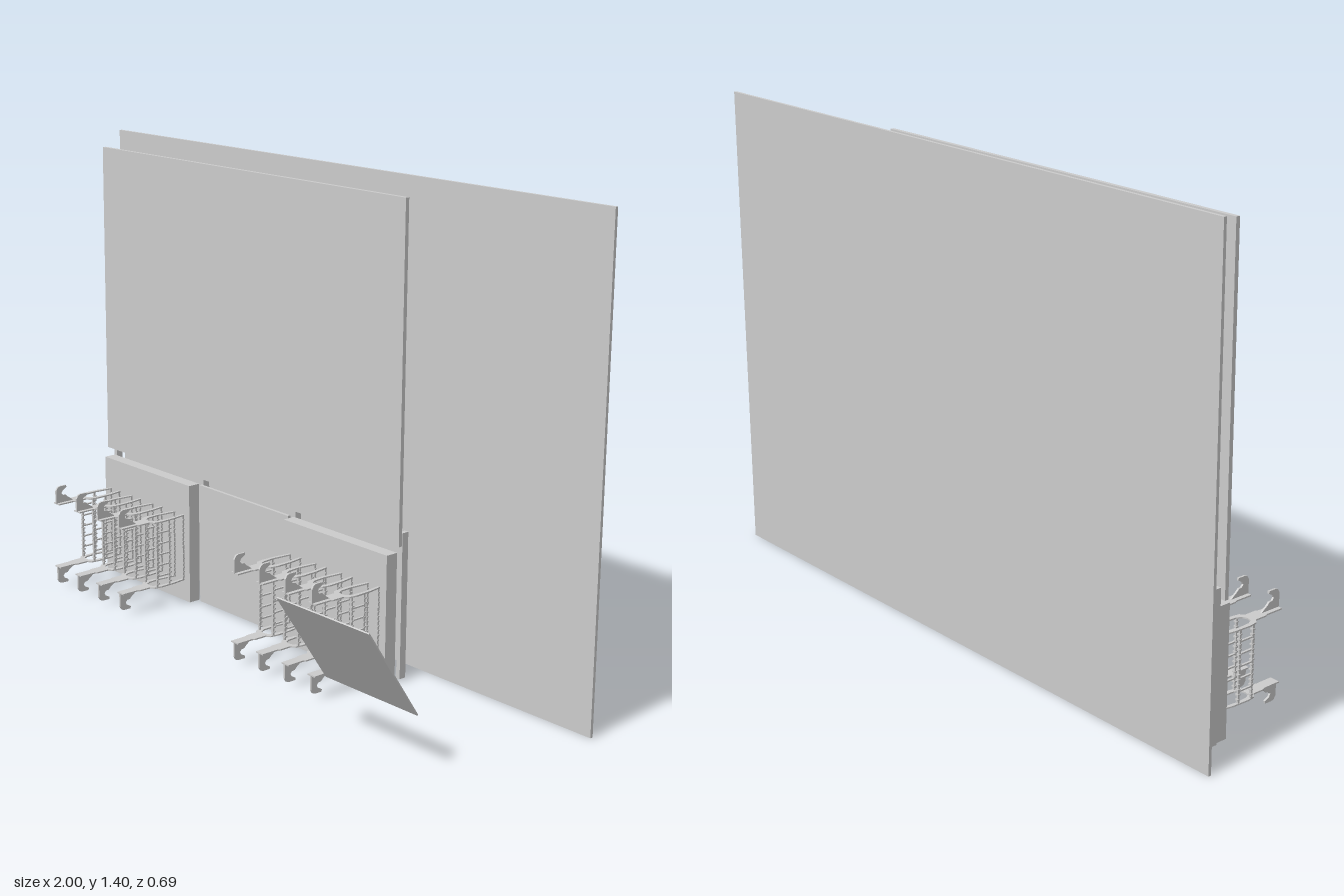
import * as THREE from 'three';

const material = new THREE.MeshStandardMaterial({ color: 0xcccccc, flatShading: true, side: THREE.DoubleSide });

// Box given by its lower and upper corners
function box(parent, name, [x0, y0, z0], [x1, y1, z1]) {
  const mesh = new THREE.Mesh(new THREE.BoxGeometry(x1 - x0, y1 - y0, z1 - z0), material);
  mesh.position.set((x0 + x1) / 2, (y0 + y1) / 2, (z0 + z1) / 2);
  mesh.name = name;
  parent.add(mesh);
  return mesh;
}

function shapeFrom(points) {
  return new THREE.Shape(points.map(([a, b]) => new THREE.Vector2(a, b)));
}

// Forked plate in plan (x, z): two bowed prongs joining into one finger
const forkHalf = [[0.026, -0.18], [0.033, -0.135], [0.035, -0.085], [0.031, -0.06], [0.019, -0.05], [0.019, -0.012], [0.015, -0.005], [0.015, 0.05]];
const innerHalf = [[0.014, -0.064], [0.022, -0.08], [0.024, -0.12], [0.018, -0.18]];
const half = [...innerHalf.slice().reverse(), [0, -0.06]];
const mirror = (list) => list.map(([x, z]) => [-x, z]);
const forkGeometry = new THREE.ExtrudeGeometry(
  shapeFrom([...forkHalf, ...mirror(forkHalf).reverse(), ...mirror(half), ...innerHalf]),
  { depth: 0.004, bevelEnabled: false }
).rotateX(Math.PI / 2).translate(0, 0.002, 0);

// Upright hook in profile (z, y), standing on the finger
const hookGeometry = new THREE.ExtrudeGeometry(
  shapeFrom([[-0.014, 0], [0.052, 0], [0.052, 0.042], [0.046, 0.052], [0.038, 0.055], [0.014, 0.055], [0.013, 0.048],
    [0.028, 0.04], [0.032, 0.032], [0.026, 0.025], [0.016, 0.024], [0.008, 0.016], [-0.004, 0.008]]),
  { depth: 0.006, bevelEnabled: false }
).rotateY(-Math.PI / 2).translate(0.003, 0, 0);

const LOW = 0.072, HIGH = 0.28;

function gripper(x) {
  const g = new THREE.Group();
  g.name = 'gripper';
  g.position.x = x;
  for (const [y, s, label] of [[HIGH, 1, 'upper'], [LOW, -1, 'lower']]) {
    const fork = new THREE.Mesh(forkGeometry, material);
    fork.position.y = y;
    fork.name = label + 'Fork';
    const hook = new THREE.Mesh(hookGeometry, material);
    hook.position.y = y;
    hook.scale.y = s;
    hook.name = label + 'Hook';
    g.add(fork, hook);
  }
  for (const s of [-1, 1]) {
    // ladder-like side: front and middle uprights plus a rear rail
    for (const [z, dx] of [[-0.07, 0.029], [-0.117, 0.029], [-0.177, 0.022]]) {
      box(g, 'upright', [s * dx - 0.003, LOW, z - 0.003], [s * dx + 0.003, HIGH, z + 0.003]);
      // small teeth along the upright
      for (let i = 0; i < 14; i++) {
        const y = LOW + 0.012 + i * 0.014;
        box(g, 'tooth', [s * dx - 0.005, y - 0.002, z - 0.006], [s * dx + 0.005, y + 0.002, z + 0.003]);
      }
    }
    for (let i = 1; i < 6; i++) {
      const y = LOW + (HIGH - LOW) * i / 6;
      box(g, 'rung', [s * 0.029 - 0.003, y - 0.002, -0.117], [s * 0.029 + 0.003, y + 0.002, -0.07]);
    }
  }
  return g;
}

export function createModel() {
  const model = new THREE.Group();
  model.name = 'displayStand';

  // Large flat panels
  box(model, 'backWall', [-1, 0, -0.344], [1, 1.4, -0.335]);
  box(model, 'upperBoard', [-0.918, 0.402, -0.219], [0.407, 1.365, -0.207]);
  box(model, 'middlePanel', [-0.457, 0.005, -0.219], [-0.052, 0.38, -0.209]);

  // Supporting posts behind the bays
  for (const x of [-0.904, -0.465, -0.045, 0.395]) {
    box(model, 'post', [x - 0.007, 0.008, -0.248], [x + 0.007, 0.437, -0.226]);
  }

  // Two bays, each with a row of four grippers
  for (const x of [-0.685, 0.176]) {
    const bay = new THREE.Group();
    bay.name = 'bay';
    bay.position.x = x;
    box(bay, 'bayPanel', [-0.213, 0.003, -0.219], [0.213, 0.379, -0.18]);
    for (let i = 0; i < 4; i++) bay.add(gripper((i - 1.5) * 0.108));
    model.add(bay);
  }

  // Tilted free-standing panel
  const panel = box(model, 'tiltedPanel', [0.525, 0.134, 0.253], [0.861, 0.446, 0.257]);
  panel.rotation.x = Math.atan2(0.174, 0.26);

  return model;
}
